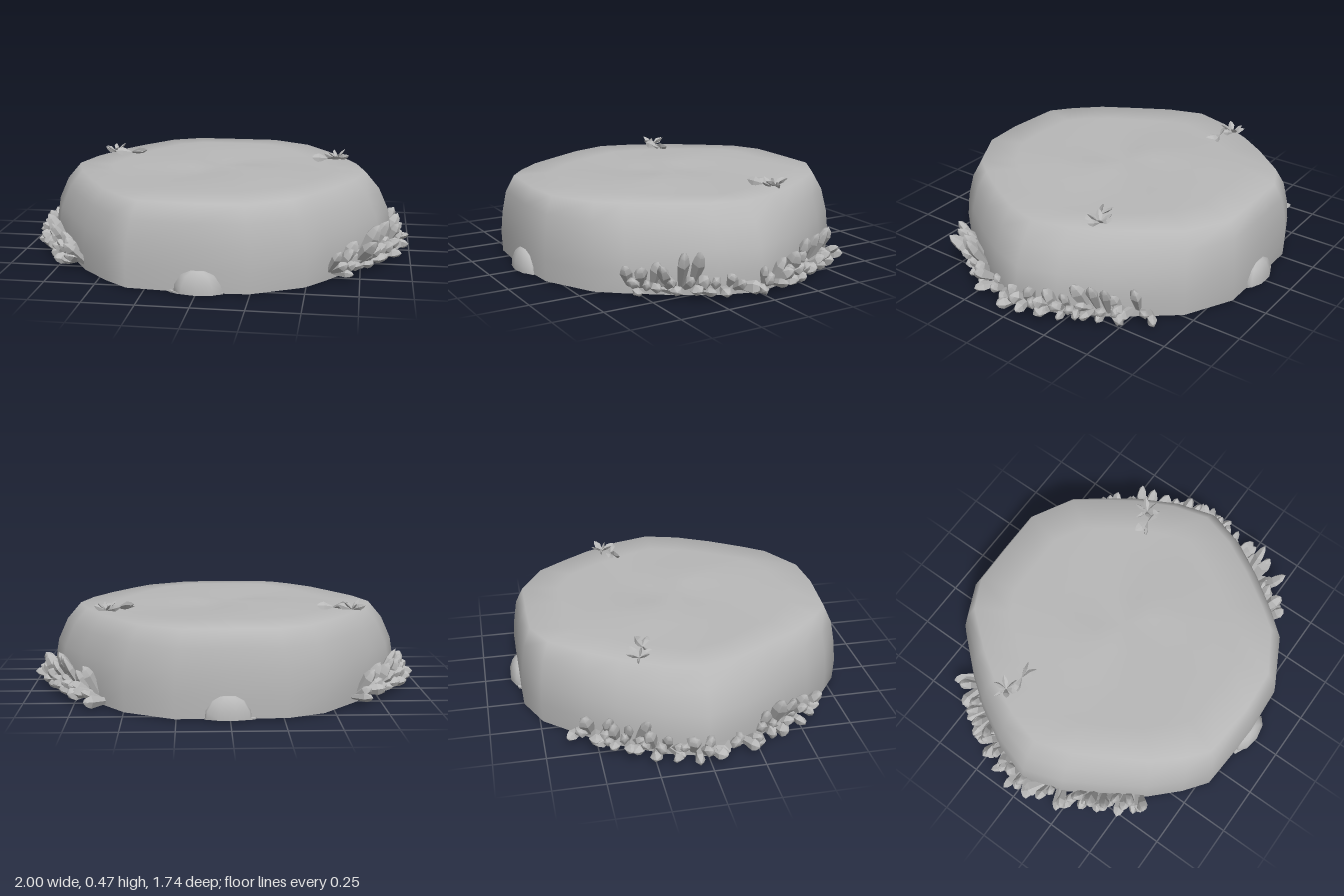
import * as THREE from 'three';
import { toCreasedNormals } from 'three/addons/utils/BufferGeometryUtils.js';

const stone = new THREE.MeshStandardMaterial({ color: 0xb8b8b8 });
stone.name = 'grey stone';

// Plan outline of the rock, [x, z], clockwise seen from above
const OUTLINE = [
  [0.9, 0], [0.84, 0.19], [0.73, 0.38], [0.6, 0.56], [0.5, 0.68], [0.25, 0.81], [0, 0.825], [-0.34, 0.8],
  [-0.46, 0.71], [-0.6, 0.57], [-0.72, 0.38], [-0.83, 0.2], [-0.9, 0], [-0.84, -0.2], [-0.73, -0.4], [-0.62, -0.55],
  [-0.45, -0.74], [-0.27, -0.82], [0, -0.825], [0.26, -0.825], [0.5, -0.7], [0.62, -0.55], [0.73, -0.4], [0.84, -0.2],
];

function random(seed) {
  let s = seed;
  return () => (s = (s * 16807) % 2147483647) / 2147483647;
}

function add(parent, geometry, name) {
  const mesh = new THREE.Mesh(geometry, stone);
  mesh.name = name;
  parent.add(mesh);
  return mesh;
}

// Rounded slab lofted through scaled copies of the outline: [y, x scale, z scale]
function rockGeometry() {
  const rings = [[0.015, 0.99, 0.995], [0.12, 1, 1], [0.23, 0.98, 0.99], [0.34, 0.925, 0.97],
    [0.425, 0.845, 0.925], [0.43, 0.65, 0.7], [0.435, 0.4, 0.42], [0.432, 0.18, 0.18]];
  const n = OUTLINE.length, pos = [], index = [];
  rings.forEach(([y, sx, sz], k) => OUTLINE.forEach(([x, z], i) => {
    const wave = k > 4 ? 0.008 * Math.sin(i * Math.PI / 6 + k) : 0;
    pos.push(x * sx, y + wave, z * sz);
  }));
  for (let k = 0; k < rings.length - 1; k++) {
    for (let i = 0; i < n; i++) {
      const a = k * n + i, b = k * n + (i + 1) % n;
      index.push(a, a + n, b, b, a + n, b + n);
    }
  }
  // Top centre
  const c = pos.length / 3, last = (rings.length - 1) * n;
  pos.push(0, 0.432, 0);
  for (let i = 0; i < n; i++) index.push(last + i, c, last + (i + 1) % n);
  // Flat underside with its own vertices
  const u = pos.length / 3;
  OUTLINE.forEach(([x, z]) => pos.push(x * 0.99, 0.015, z * 0.995));
  pos.push(0, 0.015, 0);
  for (let i = 0; i < n; i++) index.push(u + i, u + (i + 1) % n, u + n);
  const g = new THREE.BufferGeometry();
  g.setAttribute('position', new THREE.Float32BufferAttribute(pos, 3));
  g.setIndex(index);
  g.computeVertexNormals();
  return g;
}

// Unit-long faceted bud that widens, then closes to a blunt point
function budGeometry() {
  const profile = [[0, 0], [0.26, 0.02], [0.4, 0.4], [0.5, 0.68], [0.33, 0.88], [0, 1]];
  return toCreasedNormals(new THREE.LatheGeometry(profile.map(p => new THREE.Vector2(...p)), 5), 0.75);
}

// Thin pointed leaf, slightly thick so it shows from every side
function leafGeometry() {
  const profile = [[0, 0], [0.12, 0.05], [0.5, 0.55], [0.3, 0.82], [0, 1]];
  return toCreasedNormals(new THREE.LatheGeometry(profile.map(p => new THREE.Vector2(...p)), 4), 0.6);
}

function aim(mesh, base, dir, length, width, depth, roll) {
  mesh.position.set(...base);
  mesh.quaternion.setFromUnitVectors(new THREE.Vector3(0, 1, 0), dir.clone().normalize());
  mesh.rotateY(roll);
  mesh.scale.set(width, length, depth);
}

// Point on the rock's side at a given z
function edgeX(z) {
  const pts = OUTLINE.filter(p => p[0] > 0.45).sort((a, b) => a[1] - b[1]);
  const i = Math.max(1, pts.findIndex(p => p[1] >= z));
  const [a, b] = [pts[i - 1], pts[i]];
  return THREE.MathUtils.mapLinear(z, a[1], b[1], a[0], b[0]);
}

// Band of buds along one side of the rock
function budBand(side, bud) {
  const band = new THREE.Group();
  band.name = side > 0 ? 'leftBudBand' : 'rightBudBand';
  const rnd = random(side > 0 ? 77 : 191);
  const clumps = [[0.48, 0.17, 9], [0.33, 0.21, 9], [0.15, 0.09, 5], [-0.05, 0.15, 7],
    [-0.22, 0.16, 8], [-0.38, 0.19, 9], [-0.51, 0.15, 6]];
  for (const [zc, height, count] of clumps) {
    for (let i = 0; i < count; i++) {
      const spread = (i + 0.5) / count - 0.5;
      const z = zc + spread * 0.13;
      const lift = [0.12, 0.65, 1.7][i % 3] * (0.8 + rnd() * 0.4);
      const dir = new THREE.Vector3(side, lift, z * 0.75 + spread * 1.3 + (rnd() - 0.5) * 0.5);
      const length = (i % 3 === 2 ? height : 0.12) * (0.85 + rnd() * 0.3);
      const base = [side * (edgeX(z) - 0.015), 0.035 + rnd() * 0.025, z];
      const width = 0.055 + rnd() * 0.025;
      aim(add(band, bud, 'bud'), base, dir, length, width, width * 0.75, rnd() * 6);
    }
  }
  return band;
}

// Little sprig lying on the top face
function sprig(side, leaf) {
  const group = new THREE.Group();
  group.name = side > 0 ? 'leftSprig' : 'rightSprig';
  const star = side > 0 ? [0.6, -0.28] : [-0.63, -0.28];
  const pair = side > 0 ? [0.55, -0.24] : [-0.54, -0.25];
  for (let i = 0; i < 6; i++) {
    const a = i * Math.PI / 3 + 0.3;
    const dir = new THREE.Vector3(Math.cos(a), 0.3 + (i % 3) * 0.22, Math.sin(a));
    aim(add(group, leaf, 'leaf'), [star[0], 0.43, star[1]], dir, 0.075, 0.035, 0.014, i);
  }
  for (const a of [-0.25, 0.45, 2.9]) {
    const dir = new THREE.Vector3(-side * Math.cos(a), 0.12, Math.sin(a));
    aim(add(group, leaf, 'leaf'), [pair[0], 0.437, pair[1]], dir, 0.09, 0.05, 0.018, 0.8);
  }
  return group;
}

// Half-buried pebble with a thin skirt, at the front or back
function pebble(face) {
  const group = new THREE.Group();
  group.name = face > 0 ? 'frontPebble' : 'backPebble';
  const profile = [[0, 0], [1, 0], [0.97, 0.35], [0.7, 0.8], [0.35, 1], [0, 1.03]];
  const g = toCreasedNormals(new THREE.LatheGeometry(profile.map(p => new THREE.Vector2(...p)), 9), 0.8);
  const body = add(group, g, 'pebble');
  body.scale.set(0.115, 0.105, 0.055);
  body.position.set(0.01, 0.018, face * 0.815);
  const skirt = add(group, new THREE.CylinderGeometry(0.13, 0.13, 0.008, 9), 'pebbleSkirt');
  skirt.scale.z = 0.27;
  skirt.position.set(0, 0.018, face * 0.815);
  return group;
}

export function createModel() {
  const model = new THREE.Group();
  model.name = 'rock';
  add(model, rockGeometry(), 'rockSlab');
  const bud = budGeometry(), leaf = leafGeometry();
  for (const side of [1, -1]) {
    model.add(budBand(side, bud), sprig(side, leaf), pebble(side));
  }
  return model;
}
